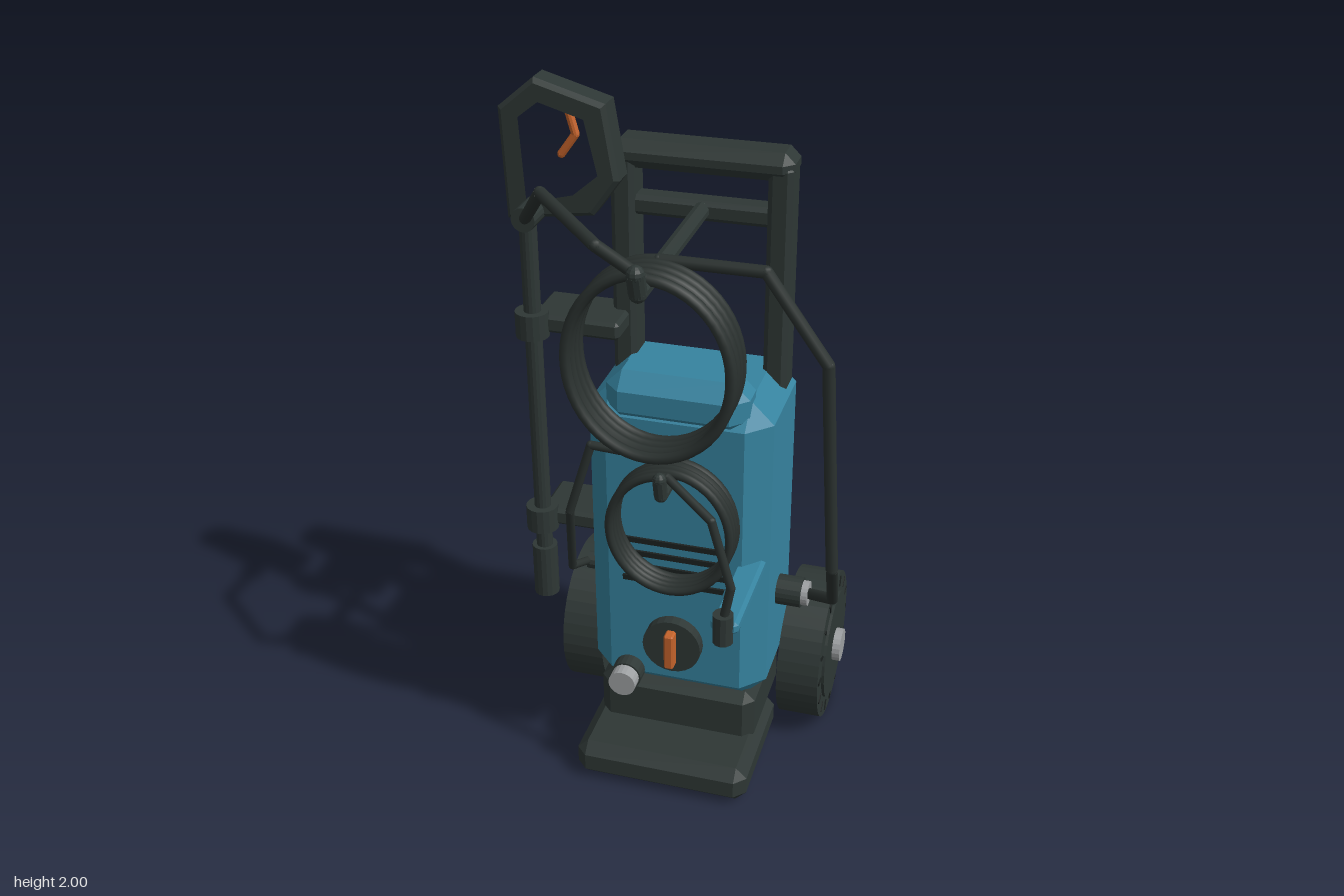
import * as THREE from 'three';
import { ConvexGeometry } from 'three/addons/geometries/ConvexGeometry.js';

const mat = (name, color) => new THREE.MeshStandardMaterial({ name, color, flatShading: true });
const V = (x, y, z) => new THREE.Vector3(x, y, z);

export function createModel() {
  const root = new THREE.Group();
  root.name = 'pressureWasher';
  const blue = mat('blueShell', 0x36839f), dark = mat('darkPlastic', 0x2e3735), rubber = mat('blackRubber', 0x2a312f);
  const slot = mat('ventBlack', 0x1c2120), metal = mat('greyMetal', 0x9da0a2), orange = mat('orange', 0xc4632b);
  rubber.flatShading = false;

  const add = (name, geometry, material, parent = root) => {
    const m = new THREE.Mesh(geometry, material);
    m.name = name;
    parent.add(m);
    return m;
  };

  // Box with cut edges, given by its limits on each axis
  const block = (name, material, [x0, x1], [y0, y1], [z0, z1], c = 0.012, parent = root) => {
    const h = [(x1 - x0) / 2, (y1 - y0) / 2, (z1 - z0) / 2], pts = [];
    for (const sx of [-1, 1]) for (const sy of [-1, 1]) for (const sz of [-1, 1])
      for (let full = 0; full < 3; full++) {
        const [x, y, z] = h.map((v, i) => (i === full ? v : v - c));
        pts.push(V(x * sx, y * sy, z * sz));
      }
    const m = add(name, new ConvexGeometry(pts), material, parent);
    m.position.set((x0 + x1) / 2, (y0 + y1) / 2, (z0 + z1) / 2);
    return m;
  };

  // Cylinder running from point a to point b
  const rod = (name, material, a, b, r, sides = 16, parent = root) => {
    const d = b.clone().sub(a);
    const m = add(name, new THREE.CylinderGeometry(r, r, d.length(), sides), material, parent);
    m.position.copy(a).add(b).multiplyScalar(0.5);
    m.quaternion.setFromUnitVectors(V(0, 1, 0), d.normalize());
    return m;
  };

  // Straight runs with round joints
  const rope = (name, material, r, points) => {
    const g = new THREE.Group();
    g.name = name;
    root.add(g);
    points.forEach((p, i) => {
      add('joint', new THREE.SphereGeometry(r, 10, 8), material, g).position.copy(p);
      if (i) rod('run', material, points[i - 1], p, r, 10, g);
    });
  };

  // Wound coil, starting and ending at its top
  class Coil extends THREE.Curve {
    constructor(center, rx, ry, z0, z1, turns) {
      super();
      Object.assign(this, { center, rx, ry, z0, z1, turns });
    }
    getPoint(t, target = V(0, 0, 0)) {
      const a = t * this.turns * Math.PI * 2;
      return target.set(this.center[0] + this.rx * Math.sin(a), this.center[1] + this.ry * Math.cos(a),
        this.z0 + (this.z1 - this.z0) * t);
    }
  }
  const coil = (name, r, ...args) => add(name, new THREE.TubeGeometry(new Coil(...args), 200, r, 8), rubber);

  // Foot, plinth and body
  block('foot', dark, [-0.25, 0.26], [0, 0.115], [-0.11, 0.3], 0.032);
  block('plinth', dark, [-0.225, 0.24], [0.08, 0.26], [-0.22, 0.13], 0.03);
  block('body', blue, [-0.25, 0.265], [0.23, 1.2], [-0.26, 0.135], 0.065);
  block('bodyHead', blue, [-0.19, 0.205], [1.11, 1.26], [-0.01, 0.145], 0.045);
  block('backPanel', dark, [-0.225, 0.235], [0.3, 1.16], [-0.315, -0.2], 0.055);

  // Front vents
  for (let i = 0; i < 4; i++)
    add('ventSlot', new THREE.BoxGeometry(0.3, 0.016, 0.008), slot).position.set(0.008, 0.754 - i * 0.043, 0.138);

  // Switch knob and water inlet
  rod('switchDial', dark, V(0.007, 0.427, 0.12), V(0.007, 0.427, 0.168), 0.085, 24);
  block('switchGrip', orange, [-0.007, 0.021], [0.37, 0.485], [0.16, 0.2], 0.005);
  rod('inletCollar', dark, V(-0.128, 0.302, 0.1), V(-0.128, 0.302, 0.178), 0.045, 20);
  rod('inletConnector', metal, V(-0.128, 0.302, 0.17), V(-0.128, 0.302, 0.217), 0.04, 20);

  // Pressure outlet and cable gland on the sides
  rod('outletCollar', dark, V(0.23, 0.53, -0.055), V(0.337, 0.53, -0.055), 0.044, 20);
  rod('outletConnector', metal, V(0.33, 0.53, -0.055), V(0.356, 0.53, -0.055), 0.036, 20);
  rod('cableGland', dark, V(-0.23, 0.55, -0.02), V(-0.3, 0.55, -0.02), 0.026, 12);

  // Push handle
  for (const x of [-0.205, 0.22]) block('handlePost', dark, [x - 0.033, x + 0.033], [1.1, 1.78], [-0.205, -0.105], 0.014);
  block('handleGrip', dark, [-0.24, 0.255], [1.735, 1.812], [-0.222, -0.098], 0.028);
  block('handleCrossbar', dark, [-0.2, 0.22], [1.605, 1.66], [-0.19, -0.12], 0.012);

  // Hooks for hose and cable
  rope('hoseHook', dark, 0.023, [V(0.008, 1.635, -0.13), V(0.008, 1.635, 0.425), V(0.008, 1.69, 0.442)]);
  rope('cableHook', dark, 0.018, [V(0.038, 1.05, 0.1), V(0.038, 1.05, 0.355), V(0.038, 1.105, 0.368)]);

  // High-pressure hose
  coil('hoseCoil', 0.015, [0.01, 1.41], 0.213, 0.245, 0.385, 0.265, 4);
  rope('hoseToGun', rubber, 0.016, [V(-0.4, 1.65, 0.09), V(-0.28, 1.8, 0.28), V(-0.085, 1.755, 0.45), V(0.01, 1.655, 0.385)]);
  rope('hoseToOutlet', rubber, 0.016, [V(0.01, 1.655, 0.265), V(0.275, 1.655, 0.265), V(0.435, 1.43, 0.265),
    V(0.467, 0.83, 0.243), V(0.438, 0.585, 0.03), V(0.35, 0.53, -0.055)]);

  // Power cable with plug on its rest
  coil('cableCoil', 0.012, [0.04, 0.895], 0.163, 0.18, 0.22, 0.305, 4);
  rope('cableToBody', rubber, 0.012, [V(0.04, 1.075, 0.22), V(-0.2, 1.08, 0.208), V(-0.268, 0.86, 0.205),
    V(-0.315, 0.59, 0.08), V(-0.295, 0.55, -0.02)]);
  rope('cableToPlug', rubber, 0.012, [V(0.04, 1.075, 0.305), V(0.18, 1.02, 0.39), V(0.235, 0.83, 0.395), V(0.217, 0.73, 0.393)]);
  block('plugRest', blue, [0.18, 0.255], [0.68, 0.718], [0.05, 0.395], 0.01);
  rod('plug', dark, V(0.215, 0.655, 0.392), V(0.215, 0.742, 0.392), 0.028, 12);

  // Spray lance and its two clips
  rod('lanceTube', dark, V(-0.435, 0.5, -0.012), V(-0.435, 1.64, -0.012), 0.024);
  rod('lanceNozzle', dark, V(-0.435, 0.42, -0.012), V(-0.435, 0.587, -0.012), 0.037);
  for (const [y, x1] of [[1.306, -0.19], [0.685, -0.23]]) {
    block('clipArm', dark, [-0.44, x1], [y - 0.026, y + 0.026], [-0.18, -0.01], 0.01);
    rod('clipRing', dark, V(-0.437, y - 0.037, -0.012), V(-0.437, y + 0.037, -0.012), 0.047);
  }

  // Spray gun with trigger
  const grip = new THREE.Shape([[-0.475, 1.91], [-0.385, 1.985], [-0.21, 1.935], [-0.18, 1.75], [-0.245, 1.66], [-0.465, 1.63]]
    .map(([x, y]) => new THREE.Vector2(x, y)));
  grip.holes.push(new THREE.Path([[-0.43, 1.895], [-0.375, 1.938], [-0.255, 1.903], [-0.222, 1.76], [-0.29, 1.702], [-0.418, 1.67]]
    .map(([x, y]) => new THREE.Vector2(x, y))));
  add('gunGrip', new THREE.ExtrudeGeometry(grip,
    { depth: 0.064, bevelSize: 0.012, bevelThickness: 0.012, bevelSegments: 1 }), dark).position.z = -0.046;
  rod('gunConnector', dark, V(-0.403, 1.648, 0), V(-0.403, 1.648, 0.1), 0.033);
  rope('trigger', orange, 0.011, [V(-0.31, 1.915, -0.012), V(-0.292, 1.85, -0.012), V(-0.332, 1.795, -0.012)]);

  // Axle and wheels
  const wy = 0.228, wz = -0.238;
  rod('axle', metal, V(-0.4, wy, wz), V(0.41, wy, wz), 0.024);
  for (const s of [-1, 1]) {
    const wheel = new THREE.Group();
    wheel.name = s > 0 ? 'leftWheel' : 'rightWheel';
    wheel.position.set(0.005, wy, wz);
    root.add(wheel);
    const disc = (name, m, a, b, r, n) => rod(name, m, V(s * a, 0, 0), V(s * b, 0, 0), r, n, wheel);
    disc('tyre', dark, 0.272, 0.397, 0.226, 40);
    disc('rim', dark, 0.39, 0.405, 0.165, 32);
    disc('hubCap', metal, 0.4, 0.428, 0.05, 20);
    for (let i = 0; i < 16; i++) {
      const a = (i / 16) * Math.PI * 2;
      const rib = add('treadMark', new THREE.BoxGeometry(0.012, 0.032, 0.01), slot, wheel);
      rib.position.set(s * 0.394, Math.cos(a) * 0.196, Math.sin(a) * 0.196);
      rib.rotation.x = a;
    }
  }
  return root;
}
